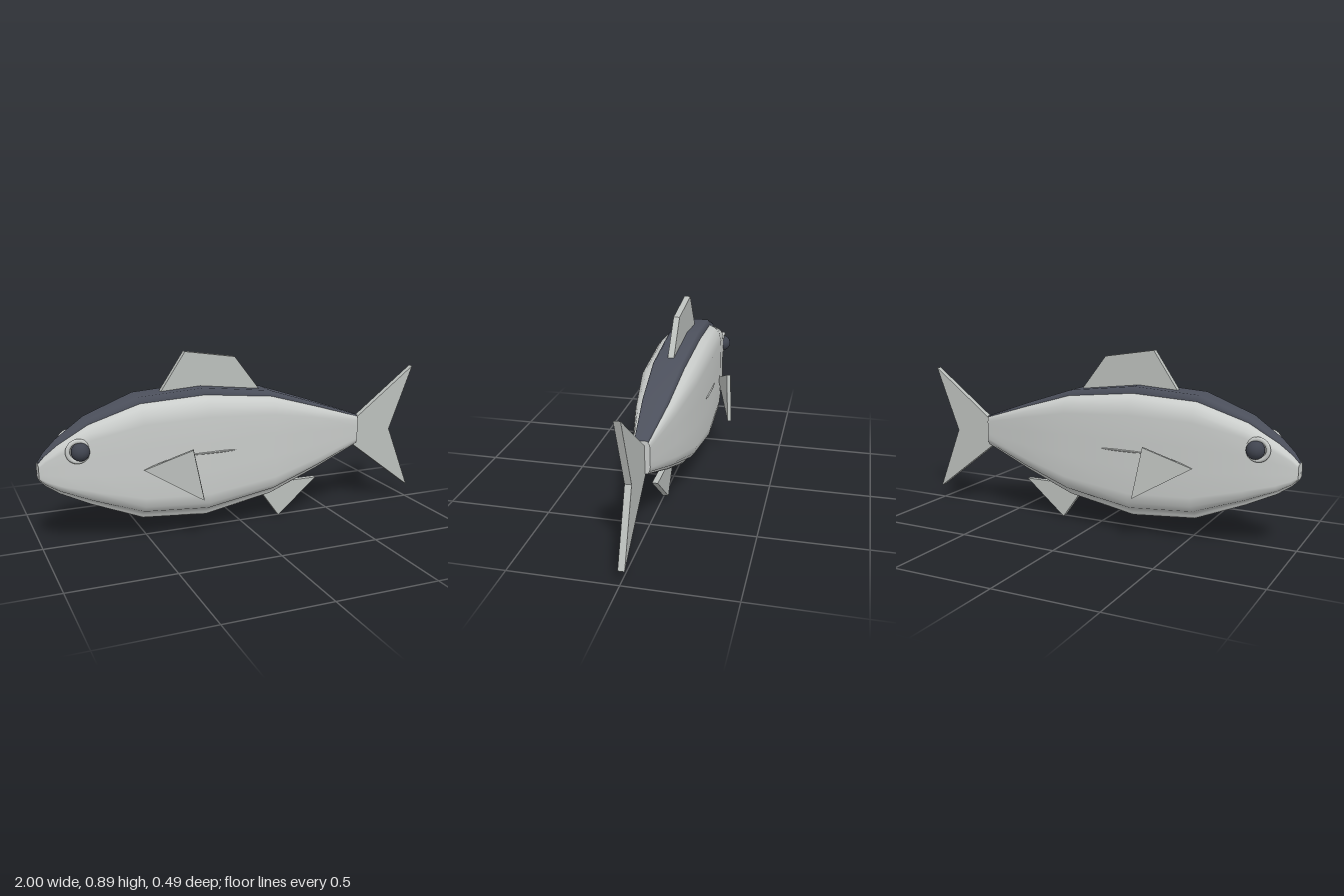
import * as THREE from 'three';

const mat = (name, color, extra = {}) => {
  const m = new THREE.MeshStandardMaterial({ color, ...extra });
  m.name = name;
  return m;
};

// Body stations: x, top, bottom, half width, back-strip width as a share of the half width
const STATIONS = [
  [-1, 0.42, 0.34, 0.037, 0.3],
  [-0.97, 0.46, 0.31, 0.052, 0.42],
  [-0.91, 0.515, 0.27, 0.075, 0.46],
  [-0.77, 0.61, 0.205, 0.112, 0.5],
  [-0.53, 0.70, 0.11, 0.138, 0.54],
  [-0.21, 0.72, 0.085, 0.148, 0.56],
  [0.14, 0.678, 0.147, 0.138, 0.56],
  [0.40, 0.592, 0.243, 0.097, 0.64],
  [0.66, 0.50, 0.345, 0.039, 0.8],
];

// Light flanks and belly run from the +z strip edge round to the -z strip edge
function flankRing([x, top, bottom, w, c]) {
  const cy = (top + bottom) / 2, h = (top - bottom) / 2;
  const m = (1 + c) / 2;
  const side = [[c, 0.9], [m, 0.85], [Math.max(0.94, m), 0.75], [1, 0.6], [1, 0.2],
    [1, -0.2], [1, -0.6], [Math.max(0.94, m), -0.75], [m, -0.85], [c, -0.9],
    [c * 0.98, -0.96], [c * 0.84, -1]];
  const ring = [...side, ...side.slice().reverse().map(([z, y]) => [-z, y])];
  return ring.map(([z, y]) => [x, cy + y * h, z * w]);
}

// Dark strip along the back, from -z over the top to +z
function backRing([x, top, bottom, w, c]) {
  const cy = (top + bottom) / 2, h = (top - bottom) / 2;
  return [[-c, 0.9], [-c * 0.98, 0.96], [-c * 0.84, 1], [c * 0.84, 1], [c * 0.98, 0.96], [c, 0.9]]
    .map(([z, y]) => [x, cy + y * h, z * w]);
}

function loft(rings) {
  const n = rings[0].length, index = [];
  for (let i = 0; i < rings.length - 1; i++) {
    for (let j = 0; j < n - 1; j++) {
      const a = i * n + j, c = a + n;
      index.push(a, a + 1, c + 1, a, c + 1, c);
    }
  }
  return surface(rings.flat(), index);
}

function endCap(ring, flip) {
  const index = [];
  for (let j = 1; j < ring.length - 1; j++) index.push(...(flip ? [0, j + 1, j] : [0, j, j + 1]));
  return surface(ring, index);
}

function surface(points, index) {
  const g = new THREE.BufferGeometry();
  g.setAttribute('position', new THREE.Float32BufferAttribute(points.flat(), 3));
  g.setIndex(index);
  g.computeVertexNormals();
  return g;
}

// Flat fin cut from an outline in the x-y plane
function finGeometry(outline, depth) {
  const shape = new THREE.Shape(outline.map(([x, y]) => new THREE.Vector2(x, y)));
  return new THREE.ExtrudeGeometry(shape, { depth, bevelEnabled: false }).translate(0, 0, -depth / 2);
}

export function createModel() {
  const silver = mat('silver', 0xc9ccca, { side: THREE.DoubleSide });
  const finGrey = mat('fin grey', 0xbcc0bd);
  const slate = mat('slate', 0x4c505c, { side: THREE.DoubleSide });
  const dark = mat('dark', 0x40444f);

  const root = new THREE.Group();
  root.name = 'fish';
  const add = (name, geometry, material, parent = root) => {
    const mesh = new THREE.Mesh(geometry, material);
    mesh.name = name;
    parent.add(mesh);
    return mesh;
  };

  // Body
  add('flanks', loft(STATIONS.map(flankRing)), silver);
  add('backStrip', loft(STATIONS.map(backRing)), slate);
  const fullRing = (s) => [...flankRing(s), ...backRing(s).slice(1, -1)];
  add('noseEnd', endCap(fullRing(STATIONS[0]), true), silver);
  add('tailEnd', endCap(fullRing(STATIONS[STATIONS.length - 1]), false), silver);

  // Fins on the centre line
  add('tailFin', finGeometry([[0.65, 0.335], [1, 0.07], [0.87, 0.4], [1, 0.735], [0.65, 0.47]], 0.03), finGrey);
  add('dorsalFin', finGeometry([[-0.44, 0.66], [0.13, 0.64], [-0.03, 0.85], [-0.285, 0.89]], 0.03), finGrey);
  add('analFin', finGeometry([[0.1, 0.18], [0.115, 0.14], [0.215, 0], [0.43, 0.18]], 0.028), finGrey);

  // Mouth
  const mouth = add('mouth', new THREE.SphereGeometry(1, 12, 6), dark);
  mouth.scale.set(0.013, 0.007, 0.042);
  mouth.position.set(-0.988, 0.372, 0);

  // Paired parts, mirrored across the centre plane
  for (const s of [1, -1]) {
    const side = new THREE.Group();
    side.name = s > 0 ? 'leftSide' : 'rightSide';
    side.scale.z = s;
    root.add(side);

    const fin = add('pectoralFin', finGeometry([[0, 0], [0.278, -0.15], [0.23, 0.095]], 0.02), finGrey, side);
    fin.position.set(-0.535, 0.37, 0.135);
    fin.rotation.y = -0.37;

    add('eye', new THREE.SphereGeometry(0.043, 16, 12), dark, side).position.set(-0.82, 0.48, 0.103);
    add('eyeRing', new THREE.TorusGeometry(0.048, 0.011, 8, 24), silver, side).position.set(-0.83, 0.482, 0.1);

    // Slim lateral line just breaking the surface
    const line = add('lateralLine', new THREE.SphereGeometry(1, 12, 6), silver, side);
    line.scale.set(0.12, 0.005, 0.008);
    line.position.set(-0.19, 0.42, 0.145);
  }

  root.position.z = -0.008;
  const model = new THREE.Group();
  model.name = 'fishModel';
  model.add(root);
  return model;
}
